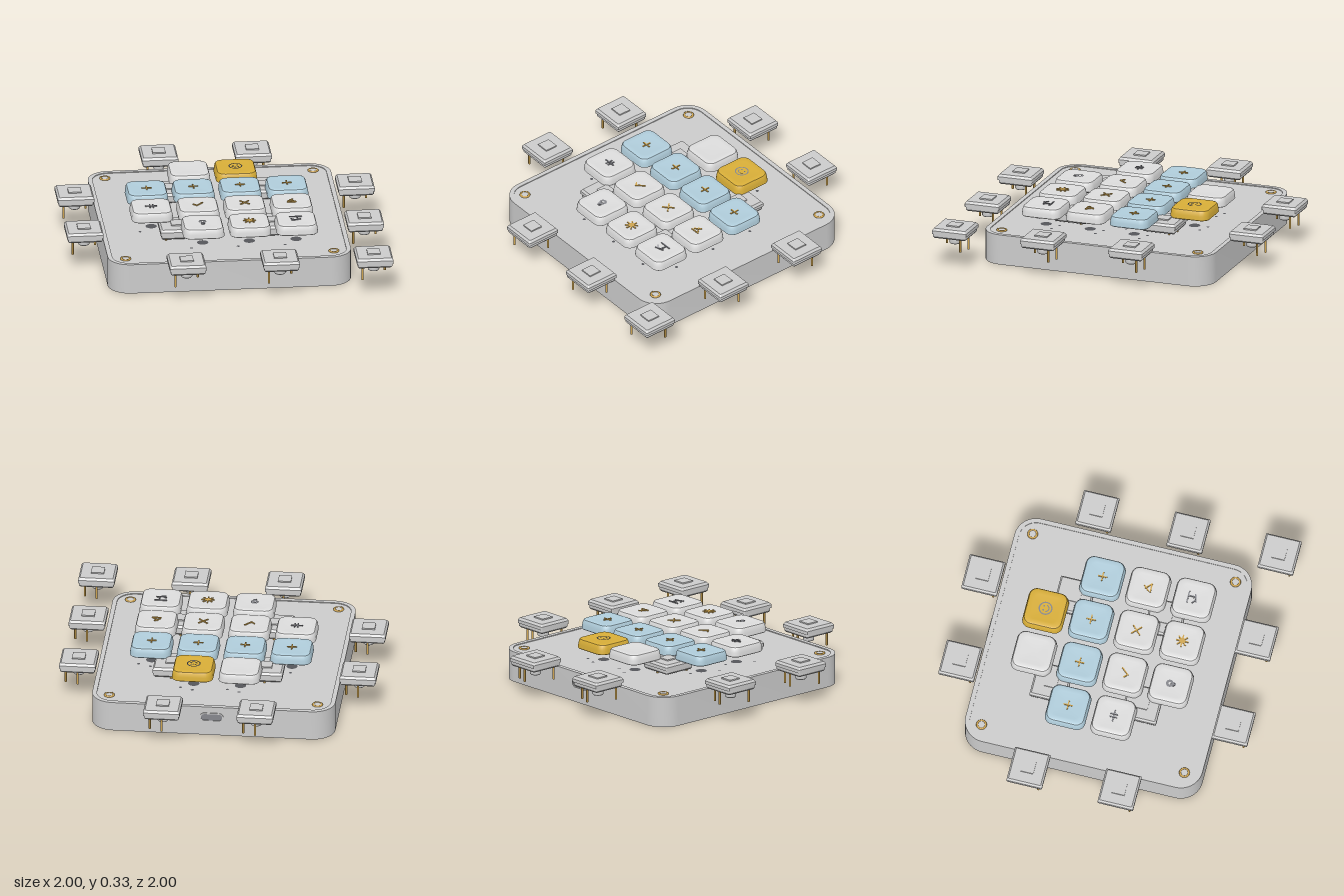
import * as THREE from 'three';
import { toCreasedNormals } from 'three/addons/utils/BufferGeometryUtils.js';

const mat = (name, color) => {
  const m = new THREE.MeshStandardMaterial({ color });
  m.name = name;
  return m;
};

// Rounded square outline, counter-clockwise
function roundedPoints(h, r, steps = 6) {
  const pts = [];
  for (let c = 0; c < 4; c++) {
    const mid = Math.PI / 4 + c * Math.PI / 2;
    const cx = Math.sign(Math.cos(mid)) * (h - r), cy = Math.sign(Math.sin(mid)) * (h - r);
    for (let i = 0; i <= steps; i++) {
      const a = (c + i / steps) * Math.PI / 2;
      pts.push(new THREE.Vector2(cx + r * Math.cos(a), cy + r * Math.sin(a)));
    }
  }
  return pts;
}

// Upright slab from a shape
function slab(shape, y0, y1) {
  const g = new THREE.ExtrudeGeometry(shape, { depth: y1 - y0, bevelEnabled: false, curveSegments: 12 });
  g.rotateX(-Math.PI / 2);
  g.translate(0, y0, 0);
  return toCreasedNormals(g, 0.5);
}

// Loft of rounded squares, each level given as [half width, y, corner radius]
function loft(levels) {
  const pos = [], idx = [];
  let n = 0;
  for (const [h, y, r] of levels) {
    const ring = roundedPoints(h, r);
    n = ring.length;
    ring.forEach(p => pos.push(p.x, y, -p.y));
  }
  for (let l = 0; l < levels.length - 1; l++) {
    for (let i = 0; i < n; i++) {
      const a = l * n + i, b = l * n + (i + 1) % n;
      idx.push(a, b, b + n, a, b + n, a + n);
    }
  }
  const g = new THREE.BufferGeometry();
  g.setAttribute('position', new THREE.Float32BufferAttribute(pos, 3));
  g.setIndex(idx);
  return toCreasedNormals(g, 0.6);
}

export function createModel() {
  const model = new THREE.Group();
  model.name = 'macroPad';
  const M = {
    shell: mat('shellGrey', 0xcbcbcb),
    cap: mat('keyWhite', 0xdcdcdc),
    blue: mat('keyBlue', 0xb0cddb),
    yellow: mat('keyYellow', 0xd8ae38),
    brass: mat('brass', 0xcfa550),
    grey: mat('legendGrey', 0x85868c),
    dark: mat('holeDark', 0x55565a),
  };
  const add = (parent, name, geo, material, x = 0, y = 0, z = 0) => {
    const m = new THREE.Mesh(geo, material);
    m.name = name;
    m.position.set(x, y, z);
    parent.add(m);
    return m;
  };

  // Case: floor, wall and slightly sunken top board
  const wall = new THREE.Shape(roundedPoints(0.767, 0.14, 10));
  wall.holes.push(new THREE.Path(roundedPoints(0.738, 0.11, 10).reverse()));
  add(model, 'caseWall', slab(wall, 0, 0.195), M.shell);
  add(model, 'caseFloor', slab(new THREE.Shape(roundedPoints(0.738, 0.11, 10)), 0, 0.03), M.shell);
  add(model, 'topBoard', slab(new THREE.Shape(roundedPoints(0.738, 0.11, 10)), 0.16, 0.19), M.shell);

  // Corner screws
  const ringGeo = new THREE.TorusGeometry(0.027, 0.007, 8, 24).rotateX(Math.PI / 2);
  const headGeo = new THREE.CylinderGeometry(0.024, 0.024, 0.006, 20);
  for (const x of [-0.657, 0.657]) for (const z of [-0.657, 0.657]) {
    add(model, 'screwRing', ringGeo, M.brass, x, 0.192, z);
    add(model, 'screwHead', headGeo, M.shell, x, 0.193, z);
  }

  // Cable port on the back wall
  const pill = (w, r) => {
    const s = new THREE.Shape();
    s.absarc(w, 0, r, -Math.PI / 2, Math.PI / 2);
    s.absarc(-w, 0, r, Math.PI / 2, Math.PI * 1.5);
    return s;
  };
  const portRing = pill(0.045, 0.03);
  portRing.holes.push(new THREE.Path(pill(0.045, 0.022).getPoints(12).reverse()));
  const port = new THREE.Group();
  port.name = 'cablePort';
  port.position.set(0, 0.125, -0.768);
  port.rotation.y = Math.PI;
  add(port, 'portRim', new THREE.ExtrudeGeometry(portRing, { depth: 0.005, bevelEnabled: false }), M.shell);
  add(port, 'portOpening', new THREE.ShapeGeometry(pill(0.045, 0.022)), M.grey, 0, 0, 0.001);
  model.add(port);

  // Switch parts, one set shared by all switches
  const upper = loft([[0.001, 0.231, 0.0005], [0.115, 0.231, 0.006], [0.115, 0.252, 0.006],
    [0.104, 0.267, 0.006], [0.001, 0.267, 0.0005]]);
  const lower = loft([[0.001, 0.203, 0.0005], [0.102, 0.203, 0.006], [0.109, 0.212, 0.006],
    [0.109, 0.231, 0.006], [0.001, 0.231, 0.0005]]);
  const stem = new THREE.BoxGeometry(0.082, 0.01, 0.082);
  const post = new THREE.LatheGeometry([[0, 0.15], [0.03, 0.15], [0.036, 0.156], [0.036, 0.188], [0.028, 0.19],
    [0.028, 0.204]].map(p => new THREE.Vector2(...p)), 20);
  const pin = new THREE.CylinderGeometry(0.007, 0.007, 0.088, 8);
  const pins = [[0, -0.09], [0.077, -0.063], [-0.078, 0.083]];

  // Key cap with a shallow dish
  const capGeo = loft([[0.001, 0.266, 0.0005], [0.126, 0.266, 0.05], [0.13, 0.27, 0.052], [0.128, 0.295, 0.052],
    [0.124, 0.318, 0.05], [0.119, 0.327, 0.048], [0.11, 0.331, 0.044], [0.085, 0.329, 0.034],
    [0.045, 0.327, 0.018], [0.001, 0.326, 0.0004]]);

  // Legends: bars as [x, z, length, angle] and flat rings as [x, z, inner, outer, start, sweep]
  const star = (n, len) => Array.from({ length: n }, (_, i) => [0, 0, len, i * Math.PI / n]);
  const plus = { color: M.brass, bars: star(2, 0.06) };
  const legends = {
    '0,2': { color: M.grey, bars: [], rings: [[0, 0, 0.036, 0.044, 0, 6.2832], [0, 0, 0.018, 0.025, 3.3, 2.8],
      [-0.014, -0.012, 0, 0.006, 0, 6.2832], [0.014, -0.012, 0, 0.006, 0, 6.2832]] },
    '1,0': plus, '1,1': plus, '1,2': plus, '1,3': plus,
    '2,0': { color: M.grey, bars: [[-0.008, 0, 0.05, Math.PI / 2], [0.012, 0, 0.05, Math.PI / 2], [0, 0, 0.075, 0]] },
    '2,1': { color: M.brass, bars: [[-0.018, 0.008, 0.035, -0.8], [0.01, -0.002, 0.065, 0.85]] },
    '2,2': { color: M.brass, bars: [[0, 0, 0.08, 0.785], [0, 0, 0.08, -0.785]] },
    '2,3': { color: M.brass, bars: [[-0.008, -0.008, 0.05, 0.8], [0.008, 0, 0.05, -0.8], [0, 0.02, 0.06, 0]] },
    '3,1': { color: M.grey, bars: [[0, 0.02, 0.026, 0], [0, 0.029, 0.018, 0]], rings: [[0, -0.006, 0.008, 0.024, 0, 6.2832]] },
    '3,2': { color: M.brass, bars: star(4, 0.08), rings: [[0, 0, 0, 0.02, 0, 6.2832]] },
    '3,3': { color: M.grey, bars: [[0, -0.036, 0.08, 0], [0.01, -0.008, 0.045, Math.PI / 2], [0, 0.014, 0.06, 0.3],
      [-0.022, 0.006, 0.03, -0.7]] },
  };

  const layout = [[1, 2], [0, 1, 2, 3], [0, 1, 2, 3], [1, 2, 3]];
  layout.forEach((cols, row) => cols.forEach(col => {
    // Switch on the wide grid
    const sw = new THREE.Group();
    sw.name = 'keySwitch';
    sw.position.set((col - 1.5) * 0.59, 0, (row - 1.5) * 0.59);
    add(sw, 'upperHousing', upper, M.shell);
    add(sw, 'lowerHousing', lower, M.shell);
    add(sw, 'switchStem', stem, M.shell, 0, 0.27, 0);
    add(sw, 'switchPost', post, M.shell);
    pins.forEach(([x, z]) => add(sw, 'switchPin', pin, M.brass, x, 0.162, z));
    model.add(sw);

    // Cap on the narrow grid
    const key = new THREE.Group();
    key.name = 'key';
    key.position.set((col - 1.5) * 0.295 - 0.002, 0, (row - 1.5) * 0.295 - 0.002);
    const color = row === 1 ? M.blue : row === 0 && col === 2 ? M.yellow : M.cap;
    add(key, 'keyCap', capGeo, color);
    const legend = legends[`${row},${col}`];
    if (legend) {
      legend.bars.forEach(([x, z, len, a]) => {
        add(key, 'legendBar', new THREE.BoxGeometry(len, 0.006, 0.008), legend.color, x, 0.329, z).rotation.y = a;
      });
      (legend.rings || []).forEach(([x, z, r0, r1, start, sweep]) => {
        const g = new THREE.RingGeometry(r0, r1, 24, 1, start, sweep).rotateX(-Math.PI / 2);
        add(key, 'legendRing', g, legend.color, x, 0.332, z);
      });
    }
    // Board holes under the cap
    [[0, 0, 0.036], ...pins.map(p => [...p, 0.01])].forEach(([x, z, r]) => {
      add(key, 'boardHole', new THREE.CircleGeometry(r, 16).rotateX(-Math.PI / 2), M.dark, x, 0.1915, z);
    });
    model.add(key);
  }));

  return model;
}
